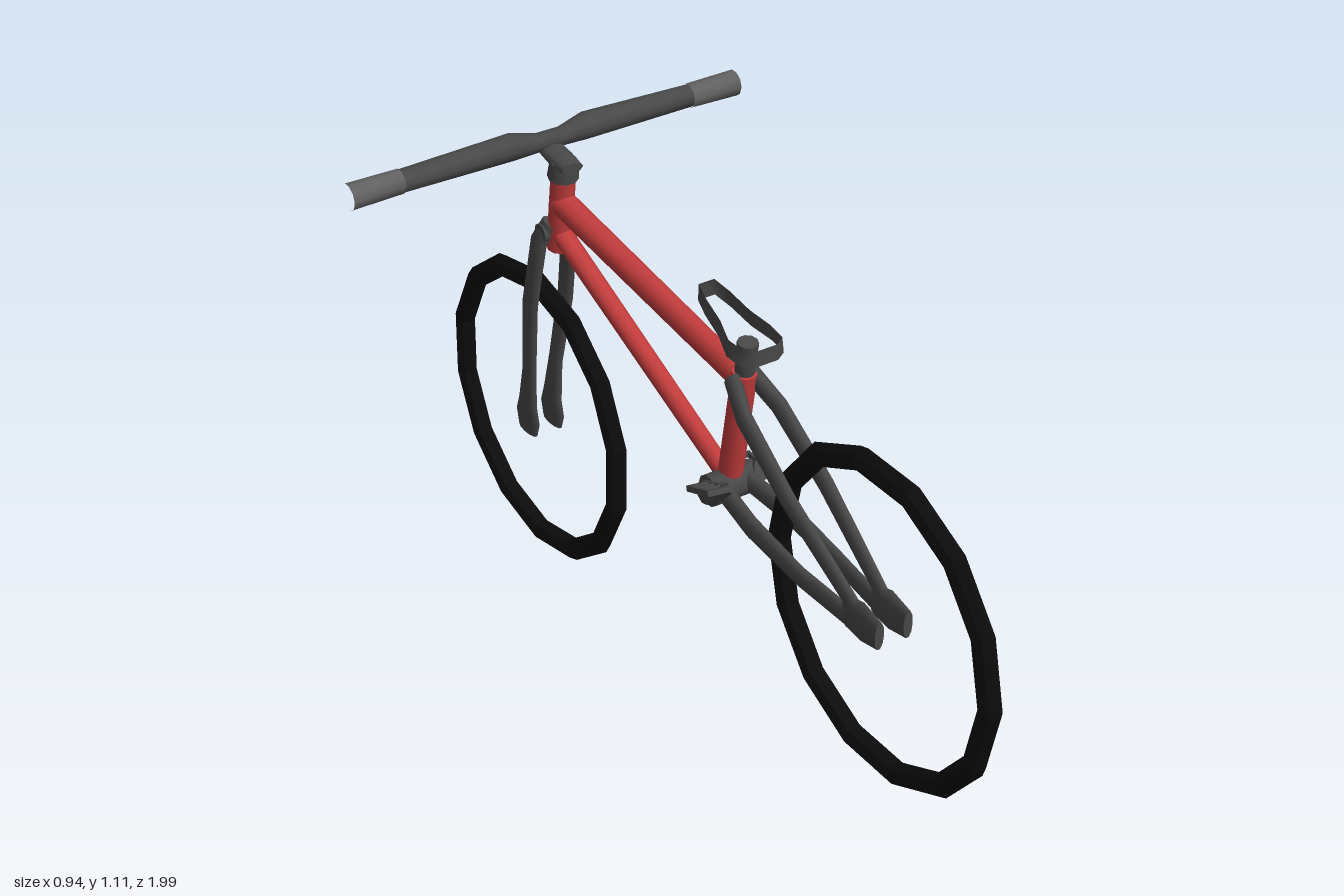
import * as THREE from 'three';

const RED = 0xc23c3c, GREY = 0x484848, GRIP = 0x606060, BLACK = 0x0c0c0c;

function addMesh(parent, name, geometry, color, options = {}) {
  const mesh = new THREE.Mesh(geometry, new THREE.MeshStandardMaterial({ color, ...options }));
  mesh.name = name;
  parent.add(mesh);
  return mesh;
}

// Elliptical tube through stations [x, y, z, radius along ref, radius across ref].
function limbGeometry(stations, { sides = 10, ref = new THREE.Vector3(1, 0, 0), capped = true } = {}) {
  const centres = stations.map(([x, y, z]) => new THREE.Vector3(x, y, z));
  const last = stations.length - 1, position = [], index = [];
  const rings = centres.map((c, i) => {
    const t = centres[Math.min(i + 1, last)].clone().sub(centres[Math.max(i - 1, 0)]).normalize();
    const u = ref.clone().addScaledVector(t, -ref.dot(t)).normalize();
    const v = t.clone().cross(u);
    const [, , , ru, rv = ru] = stations[i];
    return Array.from({ length: sides }, (_, j) => {
      const a = (j / sides) * Math.PI * 2;
      return c.clone().addScaledVector(u, Math.cos(a) * ru).addScaledVector(v, Math.sin(a) * rv);
    });
  });
  rings.forEach(ring => ring.forEach(p => position.push(p.x, p.y, p.z)));
  for (let i = 0; i < last; i++) {
    for (let j = 0; j < sides; j++) {
      const a = i * sides + j, b = i * sides + (j + 1) % sides;
      index.push(a, b, a + sides, b, b + sides, a + sides);
    }
  }
  if (capped) {
    for (const i of [0, last]) {
      const base = position.length / 3;
      rings[i].forEach(p => position.push(p.x, p.y, p.z));
      for (let j = 1; j < sides - 1; j++) {
        if (i === 0) index.push(base, base + j + 1, base + j);
        else index.push(base, base + j, base + j + 1);
      }
    }
  }
  const geometry = new THREE.BufferGeometry();
  geometry.setAttribute('position', new THREE.Float32BufferAttribute(position, 3));
  geometry.setIndex(index);
  geometry.computeVertexNormals();
  return geometry;
}

function addLimb(parent, name, stations, color, options) {
  return addMesh(parent, name, limbGeometry(stations, options), color);
}

// Bare tyre ring turning about the x axis, with a pointed tread.
function addWheel(parent, name, y, z, turn) {
  const profile = [[0.312, 0], [0.318, -0.016], [0.335, -0.024], [0.352, -0.016], [0.363, 0],
    [0.352, 0.016], [0.335, 0.024], [0.318, 0.016], [0.312, 0]].map(p => new THREE.Vector2(...p));
  const geometry = new THREE.LatheGeometry(profile, 14);
  geometry.rotateY(turn).rotateZ(Math.PI / 2);
  addMesh(parent, name, geometry, BLACK, { flatShading: true }).position.set(0, y, z);
}

// Open pedal cage: a rectangular frame with optional cross bars.
function addPedal(parent, name, width, length, bars) {
  const shape = new THREE.Shape();
  const rect = (path, w, h, cy = 0) => path.moveTo(-w, cy - h).lineTo(w, cy - h).lineTo(w, cy + h).lineTo(-w, cy + h).closePath();
  rect(shape, width / 2, length / 2);
  const inner = length - 0.016, cell = inner / (bars + 1);
  for (let i = 0; i <= bars; i++) {
    const hole = new THREE.Path();
    rect(hole, width / 2 - 0.007, cell / 2 - (bars ? 0.004 : 0), -inner / 2 + (i + 0.5) * cell);
    shape.holes.push(hole);
  }
  const geometry = new THREE.ExtrudeGeometry(shape, { depth: 0.012, bevelEnabled: false });
  geometry.translate(0, 0, -0.006).rotateX(Math.PI / 2);
  return addMesh(parent, name, geometry, GREY);
}

// Saddle: a thin open band around a tapered outline that rises to the nose.
function addSaddle(parent) {
  const half = [[0.02, 0.04], [0.03, 0.08], [0.038, 0.14], [0.054, 0.19], [0.05, 0.235], [0.025, 0.252]];
  const outline = [...half, ...half.slice().reverse().map(([x, z]) => [-x, z])];
  const position = [], index = [], n = outline.length;
  outline.forEach(([x, z]) => {
    const bottom = 0.94 + Math.max(0, 0.2 - z) * 0.28;
    position.push(x, bottom, z, x * 0.92, bottom + 0.036, z);
  });
  for (let i = 0; i < n; i++) {
    const a = i * 2, b = ((i + 1) % n) * 2;
    index.push(a, a + 1, b, b, a + 1, b + 1);
  }
  const geometry = new THREE.BufferGeometry();
  geometry.setAttribute('position', new THREE.Float32BufferAttribute(position, 3));
  geometry.setIndex(index);
  geometry.computeVertexNormals();
  addMesh(parent, 'saddle', geometry, GREY, { side: THREE.DoubleSide });
}

export function createModel() {
  const bike = new THREE.Group();
  bike.name = 'bicycle';

  addWheel(bike, 'rearWheel', 0.563, 0.637, 0);
  addWheel(bike, 'frontWheel', 0.366, -0.637, 0.2);

  // Main frame
  addLimb(bike, 'topTube', [[0, 0.862, 0.17, 0.026], [0, 0.952, -0.515, 0.029]], RED);
  addLimb(bike, 'downTube', [[0, 0.605, 0.115, 0.02], [0, 0.872, -0.51, 0.023]], RED);
  addLimb(bike, 'seatTube', [[0, 0.6, 0.125, 0.026], [0, 0.882, 0.175, 0.026]], RED);
  addLimb(bike, 'headTube', [[0, 0.835, -0.525, 0.027], [0, 1.03, -0.497, 0.027]], RED);
  addLimb(bike, 'bottomBracket', [[-0.055, 0.595, 0.13, 0.035], [0.055, 0.595, 0.13, 0.035]], GREY,
    { ref: new THREE.Vector3(0, 0, 1) });

  // Saddle and post
  addLimb(bike, 'seatPost', [[0, 0.87, 0.173, 0.02], [0, 0.955, 0.185, 0.022]], GREY);
  addSaddle(bike);

  // Paired stays, fork legs and axle ends
  for (const [side, s] of [['left', 1], ['right', -1]]) {
    addLimb(bike, side + 'SeatStay', [[s * 0.022, 0.868, 0.165, 0.016, 0.024], [s * 0.042, 0.82, 0.235, 0.014, 0.026],
      [s * 0.046, 0.72, 0.39, 0.013, 0.024], [s * 0.034, 0.585, 0.6, 0.011, 0.02]], GREY);
    addLimb(bike, side + 'ChainStay', [[s * 0.03, 0.6, 0.14, 0.016, 0.024], [s * 0.046, 0.585, 0.27, 0.014, 0.028],
      [s * 0.046, 0.565, 0.44, 0.012, 0.024], [s * 0.034, 0.553, 0.61, 0.011, 0.024]], GREY);
    addLimb(bike, side + 'RearDropout', [[s * 0.034, 0.562, 0.575, 0.012, 0.036], [s * 0.034, 0.566, 0.625, 0.013, 0.045],
      [s * 0.034, 0.565, 0.68, 0.011, 0.033]], GREY);
    addLimb(bike, side + 'ForkLeg', [[s * 0.02, 0.9, -0.528, 0.014, 0.02], [s * 0.038, 0.85, -0.545, 0.014, 0.025],
      [s * 0.045, 0.68, -0.58, 0.013, 0.026], [s * 0.034, 0.5, -0.612, 0.012, 0.023],
      [s * 0.032, 0.4, -0.627, 0.012, 0.034], [s * 0.032, 0.36, -0.63, 0.012, 0.046],
      [s * 0.032, 0.325, -0.632, 0.011, 0.036]], GREY);
  }
  addLimb(bike, 'forkCrown', [[-0.04, 0.875, -0.535, 0.022], [0.04, 0.875, -0.535, 0.022]], GREY,
    { ref: new THREE.Vector3(0, 0, 1) });

  // Stem and handlebar
  addLimb(bike, 'steererCap', [[0, 1.015, -0.5, 0.034], [0, 1.055, -0.494, 0.03]], GREY);
  addLimb(bike, 'stem', [[0, 1.05, -0.46, 0.026, 0.012], [0, 1.052, -0.5, 0.03, 0.02],
    [0, 1.066, -0.58, 0.029, 0.014]], GREY, { sides: 8 });
  const barOptions = { ref: new THREE.Vector3(0, 0, 1), capped: false };
  addLimb(bike, 'handlebar', [[-0.355, 1.082, -0.557, 0.025], [-0.09, 1.085, -0.557, 0.03], [-0.03, 1.078, -0.555, 0.021],
    [0.03, 1.078, -0.555, 0.021], [0.09, 1.085, -0.557, 0.03], [0.355, 1.082, -0.557, 0.025]], GREY, barOptions);
  addLimb(bike, 'rightGrip', [[-0.472, 1.081, -0.557, 0.029], [-0.352, 1.082, -0.557, 0.027]], GRIP, barOptions);
  addLimb(bike, 'leftGrip', [[0.352, 1.082, -0.557, 0.027], [0.472, 1.081, -0.557, 0.029]], GRIP, barOptions);

  // Cranks and pedals, half a turn apart
  addLimb(bike, 'leftCrank', [[0.05, 0.62, 0.16, 0.01, 0.024], [0.062, 0.585, 0.11, 0.011, 0.028],
    [0.082, 0.54, 0.05, 0.008, 0.018], [0.104, 0.498, -0.02, 0.006, 0.01]], GREY, { sides: 8 });
  addLimb(bike, 'rightCrank', [[-0.05, 0.57, 0.1, 0.01, 0.024], [-0.062, 0.605, 0.15, 0.011, 0.028],
    [-0.08, 0.65, 0.21, 0.008, 0.018], [-0.102, 0.702, 0.278, 0.006, 0.01]], GREY, { sides: 8 });
  const leftPedal = addPedal(bike, 'leftPedal', 0.068, 0.115, 0);
  leftPedal.position.set(0.14, 0.501, -0.012);
  leftPedal.rotation.set(-0.12, -0.12, 0);
  const rightPedal = addPedal(bike, 'rightPedal', 0.05, 0.095, 2);
  rightPedal.position.set(-0.14, 0.704, 0.257);
  rightPedal.rotation.set(-0.42, -0.08, -0.1);

  return bike;
}
